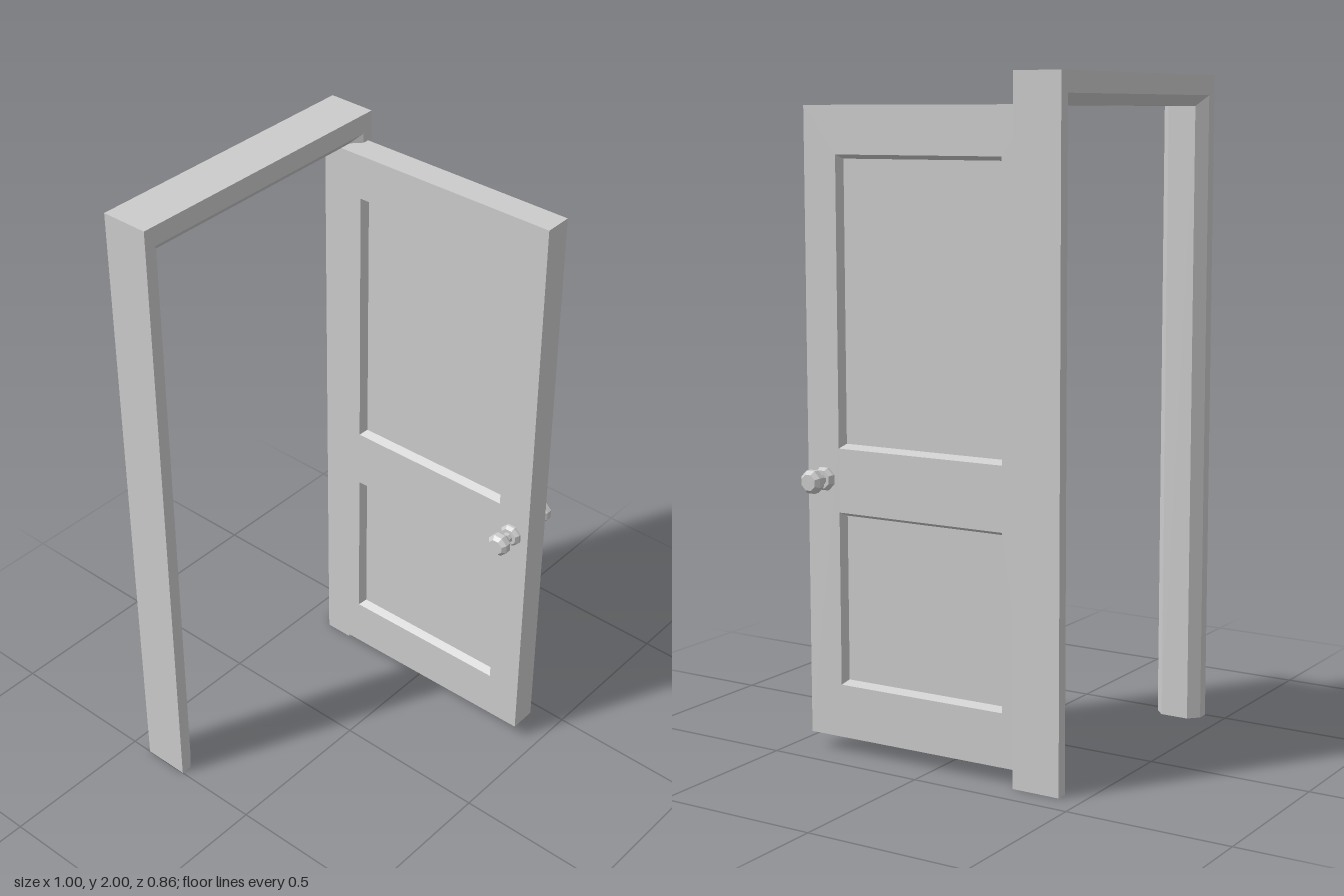
import * as THREE from 'three';

const grey = new THREE.MeshStandardMaterial({ color: 0xcccccc });
grey.name = 'paintedGrey';

function part(name, geometry, parent) {
  const flat = geometry.index ? geometry.toNonIndexed() : geometry;
  flat.computeVertexNormals();
  const mesh = new THREE.Mesh(flat, grey);
  mesh.name = name;
  parent.add(mesh);
  return mesh;
}

// Joins closed rings of [x, y, z] points, then caps the last (and optionally first) ring
function loft(rings, capFirst) {
  const n = rings[0].length, last = (rings.length - 1) * n, index = [];
  for (let i = 0; i < rings.length - 1; i++) {
    for (let j = 0; j < n; j++) {
      const a = i * n + j, b = i * n + (j + 1) % n;
      index.push(a, b, b + n, a, b + n, a + n);
    }
  }
  for (let j = 1; j < n - 1; j++) {
    index.push(last, last + j, last + j + 1);
    if (capFirst) index.push(0, j + 1, j);
  }
  const geometry = new THREE.BufferGeometry();
  geometry.setAttribute('position', new THREE.Float32BufferAttribute(rings.flat(2), 3));
  geometry.setIndex(index);
  return geometry;
}

// Rectangle in the plane x, wound to face +x
function rect(x, halfWidth, y0, y1) {
  return [[x, y0, halfWidth], [x, y0, -halfWidth], [x, y1, -halfWidth], [x, y1, halfWidth]];
}

export function createModel() {
  const model = new THREE.Group();
  model.name = 'doorway';

  // Door frame: chamfered section [inward offset, z], mitred at the top corners
  const section = [[0, -0.43], [0, -0.28], [0.035, -0.28], [0.067, -0.31], [0.067, -0.4], [0.035, -0.43]];
  const head = d => 2 - (d > 0 ? d + 0.025 : 0);
  const stations = [
    d => [-0.5 + d, 0], d => [-0.5 + d, head(d)],
    d => [0.42 - d, head(d)], d => [0.42 - d, 0],
  ];
  part('doorFrame', loft(stations.map(at => section.map(([d, z]) => [...at(d), z])), true), model);

  // Open door, in its own frame: width along z, thickness along x
  const door = new THREE.Group();
  door.name = 'door';
  door.position.set(0.366, 0, 0.0425);
  door.rotation.y = 0.014;
  model.add(door);

  const halfWidth = 0.3875, halfThick = 0.0435, panelHalf = 0.2775;
  const panels = [['lowerPanel', 0.21, 0.73], ['upperPanel', 0.92, 1.77]];
  const outline = (w, y0, y1, Type) => new Type(
    [[-w, y0], [w, y0], [w, y1], [-w, y1]].map(p => new THREE.Vector2(...p)));

  // Stiles and rails
  const slab = outline(halfWidth, 0.05, 1.91, THREE.Shape);
  for (const [, y0, y1] of panels) slab.holes.push(outline(panelHalf, y0, y1, THREE.Path));
  const slabGeometry = new THREE.ExtrudeGeometry(slab, { depth: 2 * halfThick, bevelEnabled: false });
  slabGeometry.translate(0, 0, -halfThick).rotateY(Math.PI / 2);
  part('stilesAndRails', slabGeometry, door);

  // Knob profile: rosette, stem, then chamfered grip
  const knobProfile = [
    [0.036, 0], [0.036, 0.008], [0.028, 0.019], [0.017, 0.019], [0.017, 0.042],
    [0.026, 0.042], [0.036, 0.053], [0.036, 0.072], [0.025, 0.084], [0, 0.084],
  ].map(p => new THREE.Vector2(...p));

  // Recessed panels and a knob on each face
  for (const side of [1, -1]) {
    const turn = side > 0 ? 0 : Math.PI;
    for (const [name, y0, y1] of panels) {
      const inset = 0.012, depth = 0.024;
      const rings = [
        rect(halfThick, panelHalf, y0, y1),
        rect(halfThick - depth, panelHalf - inset, y0 + inset, y1 - inset),
      ];
      part(name, loft(rings, false), door).rotation.y = turn;
    }
    const knob = new THREE.LatheGeometry(knobProfile, 8, Math.PI / 8);
    knob.rotateZ(-Math.PI / 2).translate(halfThick, 0, 0);
    const mesh = part('knob', knob, door);
    mesh.rotation.y = turn;
    mesh.position.set(0, 0.827, 0.3275);
  }
  return model;
}
